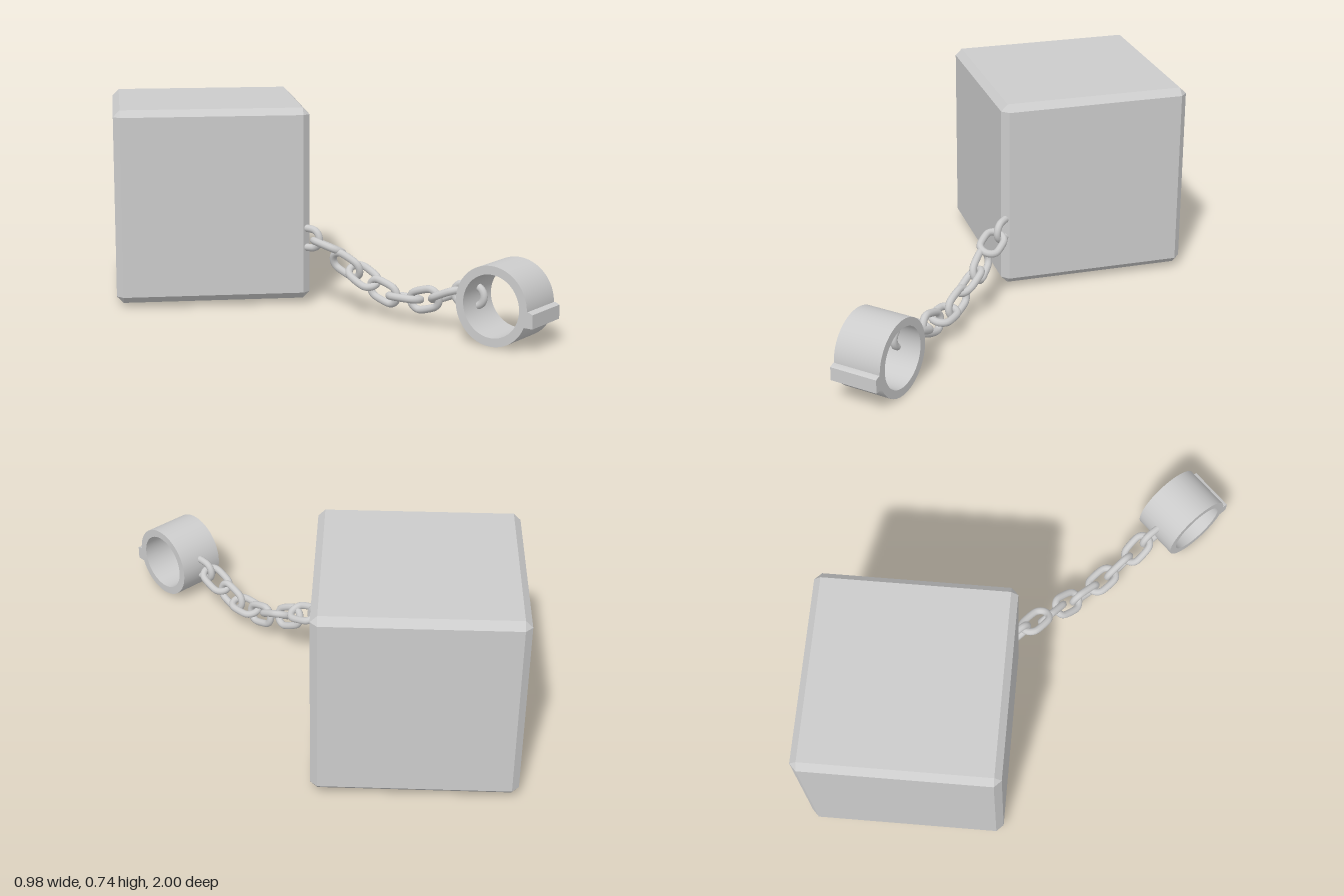
import * as THREE from 'three';
import { toCreasedNormals } from 'three/addons/utils/BufferGeometryUtils.js';
import { ConvexGeometry } from 'three/addons/geometries/ConvexGeometry.js';

const material = new THREE.MeshStandardMaterial({ color: 0xcccccc });

function add(parent, name, geometry) {
  const mesh = new THREE.Mesh(geometry, material);
  mesh.name = name;
  parent.add(mesh);
  return mesh;
}

// Cube with chamfered edges and corners: three points around each corner
function chamferedCube(half, chamfer) {
  const inner = half - chamfer;
  const points = [];
  for (const x of [-1, 1]) for (const y of [-1, 1]) for (const z of [-1, 1]) {
    points.push(
      new THREE.Vector3(x * half, y * inner, z * inner),
      new THREE.Vector3(x * inner, y * half, z * inner),
      new THREE.Vector3(x * inner, y * inner, z * half));
  }
  return new ConvexGeometry(points);
}

// Oval chain link lying in the yz plane, long along z
function linkGeometry(length, width, wire) {
  const r = width / 2 - wire;
  const straight = length / 2 - wire - r;
  const points = [];
  for (const end of [1, -1]) {
    for (let i = 0; i <= 8; i++) {
      const a = -Math.PI / 2 + (Math.PI * i) / 8;
      points.push(new THREE.Vector3(0, end * r * Math.sin(a), end * (straight + r * Math.cos(a))));
    }
  }
  const path = new THREE.CatmullRomCurve3(points, true);
  return new THREE.TubeGeometry(path, 40, wire, 10, true);
}

// Extrude a (z, y) outline across x, centred on x = 0
function extrudeAcross(shape, width, segments) {
  const g = new THREE.ExtrudeGeometry(shape, { depth: width, bevelEnabled: false, curveSegments: segments });
  g.translate(0, 0, -width / 2);
  g.rotateY(-Math.PI / 2);
  return toCreasedNormals(g, 0.5);
}

export function createModel() {
  const model = new THREE.Group();
  model.name = 'cubeAndChain';

  // Heavy block, one vertical edge toward the front
  const block = add(model, 'block', chamferedCube(0.359, 0.025));
  block.position.set(0, 0.377, -0.51);
  block.rotation.y = Math.PI / 4;

  // Sagging chain: [z, y, tilt, yaw, roll] for each link
  const chain = new THREE.Group();
  chain.name = 'chain';
  model.add(chain);
  const link = linkGeometry(0.148, 0.098, 0.0138);
  const links = [
    [-0.02, 0.25, 0, 0, 0],
    [0.08, 0.23, 0.25, 0.1, 1.2],
    [0.165, 0.172, 0.45, 0.12, 0.25],
    [0.242, 0.142, 0.45, -0.05, -1.05],
    [0.333, 0.098, 0.3, 0, 0.12],
    [0.425, 0.09, 0, 0.05, 1.4],
    [0.51, 0.096, -0.3, 0, 0.15],
    [0.605, 0.128, -0.42, 0.06, 1.35],
    [0.695, 0.142, 0, 0, 0],
  ];
  links.forEach(([z, y, tilt, yaw, roll], i) => {
    const mesh = add(chain, `link${i + 1}`, link);
    mesh.position.set(0, y, z);
    mesh.rotation.set(tilt, yaw, roll);
  });

  // Shackle: round cuff with a clasp strip at the front
  const shackle = new THREE.Group();
  shackle.name = 'shackle';
  model.add(shackle);
  const ring = new THREE.Shape().absarc(0, 0, 0.14, 0, Math.PI * 2);
  ring.holes.push(new THREE.Path().absarc(0, 0, 0.11, 0, Math.PI * 2, true));
  add(shackle, 'cuff', extrudeAcross(ring, 0.18, 32)).position.set(0, 0.14, 0.838);

  const claspOutline = [[0.955, 0.087], [1, 0.087], [1, 0.136], [0.985, 0.142], [0.955, 0.142]];
  const clasp = new THREE.Shape(claspOutline.map(([z, y]) => new THREE.Vector2(z, y)));
  add(shackle, 'clasp', extrudeAcross(clasp, 0.18, 1));

  return model;
}
